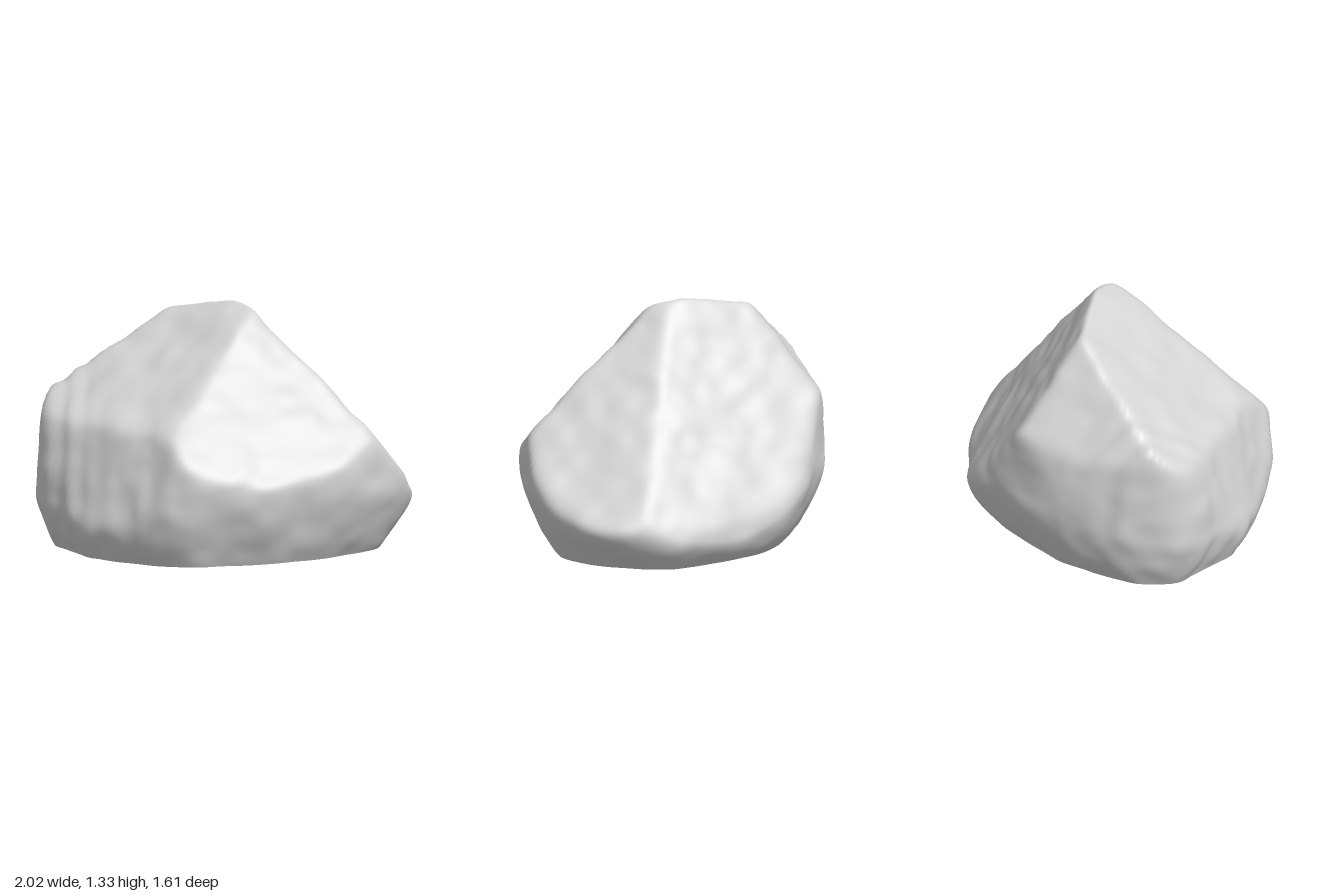
import * as THREE from 'three';

// Facets of the boulder: outward direction and a point on the plane
const FACETS = [
  [[0, 0.64, 0.77], [0, 1.19, 0.195]],           // front slope
  [[-0.5, 0.79, 0.31], [0.08, 1.29, 0.05]],      // upper left slope
  [[-0.36, 0.6, -0.72], [-0.2, 1.25, -0.395]],   // upper back left
  [[0.57, 0.54, -0.62], [0.14, 1.34, -0.02]],    // back right slope
  [[0.772, 0.635, 0], [0.41, 1, 0]],             // right slope
  [[-0.82, 0.27, 0.5], [-0.8, 0.26, 0.325]],     // steep left side
].map(([n, p]) => {
  const normal = new THREE.Vector3(...n).normalize();
  return { normal, d: normal.dot(new THREE.Vector3(...p)) };
});

// Plan outline: radius every 15 degrees, from +x towards +z
const OUTLINE = [1.03, 1.03, 1.01, 0.92, 0.86, 0.81, 0.81, 0.8, 0.84, 0.86, 0.88, 0.92,
  0.95, 1.02, 0.96, 0.88, 0.84, 0.81, 0.81, 0.82, 0.82, 0.81, 0.87, 0.97];
// Undercut every 45 degrees: height where it starts, and depth at the ground
const UNDERCUT_HEIGHT = [0.26, 0.4, 0.46, 0.28, 0.28, 0.35, 0.4, 0.15];
const UNDERCUT_DEPTH = [0.17, 0.18, 0.19, 0.11, 0.09, 0.13, 0.21, 0.13];

// Smooth value from a table spread around the circle
function around(table, angle) {
  const count = table.length;
  const t = (angle / (Math.PI * 2) + 1) * count;
  const i = Math.floor(t), f = t - i;
  const [a, b, c, d] = [-1, 0, 1, 2].map((k) => table[(i + k) % count]);
  return b + 0.5 * f * (c - a + f * (2 * a - 5 * b + 4 * c - d + f * (3 * (b - c) + d - a)));
}

// Seeded value noise in the range -1 to 1
function hash(x, y, z) {
  let h = Math.imul(x, 374761393) ^ Math.imul(y, 668265263) ^ Math.imul(z, 1274126177);
  h = Math.imul(h ^ (h >>> 13), 1103515245);
  return ((h ^ (h >>> 16)) >>> 0) / 2147483648 - 1;
}
function noise(x, y, z) {
  const [i, j, k] = [x, y, z].map(Math.floor);
  const [u, v, w] = [x - i, y - j, z - k].map((t) => t * t * (3 - 2 * t));
  let sum = 0;
  for (let a = 0; a < 2; a++) for (let b = 0; b < 2; b++) for (let c = 0; c < 2; c++) {
    sum += hash(i + a, j + b, k + c) * (a ? u : 1 - u) * (b ? v : 1 - v) * (c ? w : 1 - w);
  }
  return sum;
}

// Signed rule for the rock: negative inside, positive outside
function rock(x, y, z) {
  const angle = Math.atan2(z, x);
  const h = around(UNDERCUT_HEIGHT, angle);
  const tuck = y < h ? around(UNDERCUT_DEPTH, angle) * ((h - y) / h) ** 1.6 : 0.12 * (y - h) ** 2;
  const values = [(Math.hypot(x, z) / around(OUTLINE, angle) - 1 + tuck) * 0.88];
  for (const { normal, d } of FACETS) values.push(normal.x * x + normal.y * y + normal.z * z - d);
  const k = 0.014;
  const top = Math.max(...values);
  const blend = top + k * Math.log(values.reduce((s, v) => s + Math.exp((v - top) / k), 0));
  // broad lumps, small chips, and layers on the left side
  const lumps = 0.013 * noise(x * 4 + 7, y * 4, z * 4) + 0.007 * noise(x * 9, y * 9 + 3, z * 9);
  const left = THREE.MathUtils.smoothstep(-x, 0.3, 0.8);
  const layers = 0.009 * left * noise((y * 0.85 - x * 0.3 + z * 0.5) * 3, (x + z * 0.4) * 16, 5);
  return blend + lumps + layers;
}

// Distance from a start point to the surface along a direction
function reach(o, dx, dy, dz) {
  let near = 0, far = 1.8;
  for (let i = 0; i < 24; i++) {
    const m = (near + far) / 2;
    if (rock(o[0] + dx * m, o[1] + dy * m, o[2] + dz * m) < 0) near = m;
    else far = m;
  }
  return near;
}

function makeGeometry(points, index) {
  const g = new THREE.BufferGeometry();
  g.setAttribute('position', new THREE.Float32BufferAttribute(points, 3));
  g.setIndex(index);
  g.computeVertexNormals();
  return g;
}

export function createModel() {
  const stone = new THREE.MeshStandardMaterial({ color: 0xd4d4d4 });
  stone.name = 'grey stone';

  const columns = 200, rows = 110, cx = 0.1, cy = 0.42;
  const points = [], index = [];
  // rings from the ground edge up to the peak
  for (let j = 0; j < columns; j++) {
    const a = (j / columns) * Math.PI * 2, c = Math.cos(a), s = Math.sin(a);
    const foot = reach([cx, 0, 0], c, 0, s);
    const low = Math.atan2(-cy, foot);
    const n = (j + 1) % columns;
    points.push(cx + c * foot, 0, s * foot);
    for (let i = 1; i < rows; i++) {
      const e = low + (Math.PI / 2 - low) * (i / rows);
      const dx = Math.cos(e) * c, dy = Math.sin(e), dz = Math.cos(e) * s;
      const r = reach([cx, cy, 0], dx, dy, dz);
      points.push(cx + dx * r, cy + dy * r, dz * r);
      const here = j * rows + i, next = n * rows + i;
      index.push(here - 1, here, next - 1, here, next, next - 1);
    }
    index.push(j * rows + rows - 1, columns * rows, n * rows + rows - 1);
  }
  points.push(cx, cy + reach([cx, cy, 0], 0, 1, 0), 0);

  // flat underside
  const rim = [], fan = [];
  for (let j = 0; j < columns; j++) {
    rim.push(...points.slice(j * rows * 3, j * rows * 3 + 3));
    fan.push(columns, j, (j + 1) % columns);
  }
  rim.push(0, 0, 0);

  const group = new THREE.Group();
  group.name = 'boulder';
  for (const [name, geometry] of [
    ['rockBody', makeGeometry(points, index)],
    ['flatBase', makeGeometry(rim, fan)],
  ]) {
    const mesh = new THREE.Mesh(geometry, stone);
    mesh.name = name;
    group.add(mesh);
  }
  return group;
}
